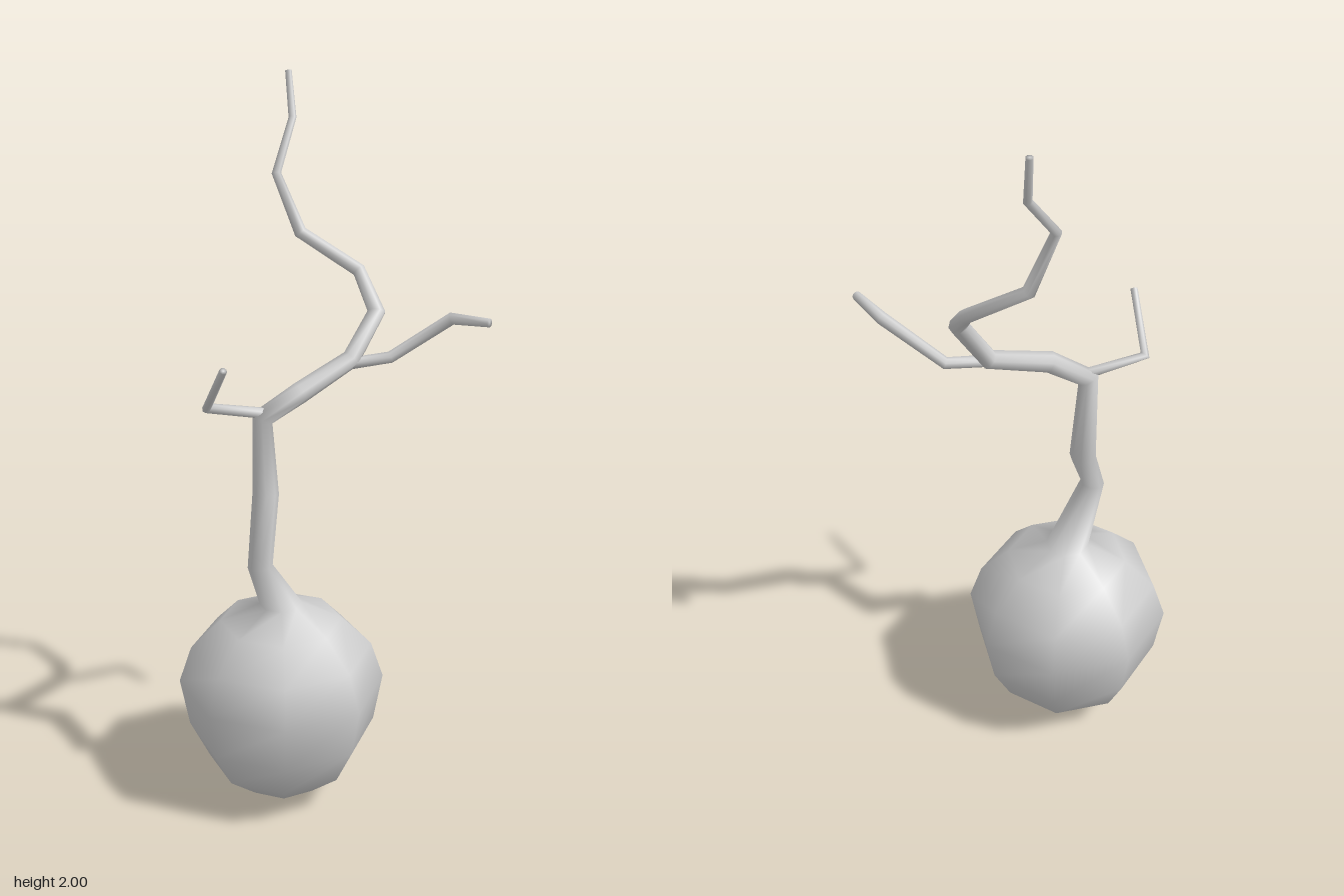
import * as THREE from 'three';

const SIDES = 8;
const UP = new THREE.Vector3(0, 1, 0);
const material = new THREE.MeshStandardMaterial({ color: 0xcccccc });

// Sweeps an eight-sided ring along [x, y, z, radius, level?] stations and caps both ends.
// Rings tilt to the mean direction of their neighbours, unless marked level.
function limb(name, stations) {
  const points = stations.map(([x, y, z]) => new THREE.Vector3(x, y, z));
  const last = points.length - 1;
  const direction = (i) => points[i + 1].clone().sub(points[i]).normalize();
  const positions = [];
  const index = [];
  const frame = new THREE.Quaternion();
  let previous = UP;

  stations.forEach(([, , , radius, level], i) => {
    const tangent = level ? UP.clone()
      : direction(Math.max(i - 1, 0)).add(direction(Math.min(i, last - 1))).normalize();
    frame.premultiply(new THREE.Quaternion().setFromUnitVectors(previous, tangent));
    previous = tangent;
    for (let j = 0; j < SIDES; j++) {
      const a = (j / SIDES) * Math.PI * 2;
      const v = new THREE.Vector3(Math.cos(a) * radius, 0, Math.sin(a) * radius);
      positions.push(...v.applyQuaternion(frame).add(points[i]).toArray());
      if (i === last) continue;
      const k = i * SIDES + j;
      const n = i * SIDES + (j + 1) % SIDES;
      index.push(k, k + SIDES, n, n, k + SIDES, n + SIDES);
    }
  });

  // End caps
  const start = positions.length / 3;
  positions.push(...points[0].toArray(), ...points[last].toArray());
  for (let j = 0; j < SIDES; j++) {
    const n = (j + 1) % SIDES;
    index.push(start, j, n, start + 1, last * SIDES + n, last * SIDES + j);
  }

  const geometry = new THREE.BufferGeometry();
  geometry.setAttribute('position', new THREE.Float32BufferAttribute(positions, 3));
  geometry.setIndex(index);
  geometry.computeVertexNormals();
  const mesh = new THREE.Mesh(geometry, material);
  mesh.name = name;
  return mesh;
}

export function createModel() {
  const group = new THREE.Group();
  group.name = 'bulbWithBranches';

  // Round bulb profile: [radius, height], running smoothly into the trunk
  const bulb = [
    [0.01, 0], [0.115, 0.03], [0.21, 0.11], [0.265, 0.22],
    [0.29, 0.36], [0.255, 0.465], [0.17, 0.55], [0.06, 0.6],
  ].map(([r, y]) => [-0.047, y, 0.065, r, true]);

  // Crooked trunk, thinning to the tip
  const trunk = [
    [-0.022, 0.76, 0.172, 0.034],
    [-0.077, 0.93, 0.09, 0.036],
    [-0.057, 1.16, 0.12, 0.03],
    [-0.005, 1.22, 0.03, 0.029],
    [0.026, 1.28, -0.14, 0.026],
    [0.05, 1.4, -0.215, 0.025],
    [-0.047, 1.49, -0.255, 0.019],
    [-0.18, 1.59, -0.165, 0.018],
    [-0.222, 1.75, -0.117, 0.013],
    [-0.265, 1.88, -0.228, 0.011],
    [-0.295, 2.0, -0.245, 0.009],
  ];
  group.add(limb('bulbAndTrunk', [...bulb, ...trunk]));

  // Long side branch towards the back
  group.add(limb('backBranch', [
    [0.03, 1.27, -0.13, 0.016],
    [0.085, 1.275, -0.235, 0.016],
    [0.21, 1.385, -0.338, 0.017],
    [0.33, 1.395, -0.341, 0.012],
  ]));

  // Short hooked branch towards the front
  group.add(limb('frontBranch', [
    [-0.055, 1.175, 0.12, 0.015],
    [-0.12, 1.21, 0.26, 0.014],
    [-0.008, 1.345, 0.308, 0.01],
  ]));

  return group;
}
